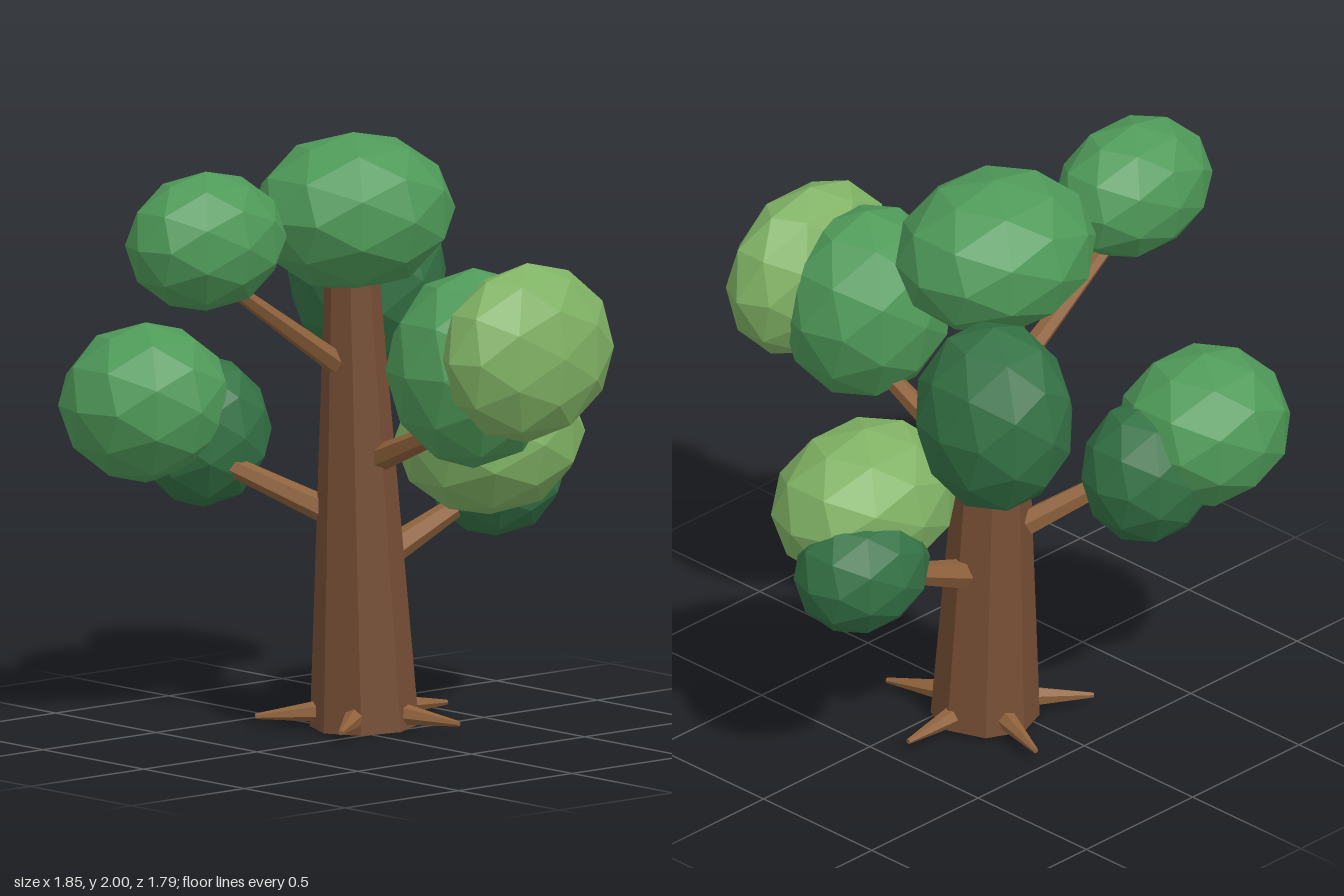
import * as THREE from 'three';

const material = (color) => new THREE.MeshStandardMaterial({ color, flatShading: true });

// Tapered round piece running from point a to point b
function limb(name, a, b, r0, r1, sides, mat) {
  const from = new THREE.Vector3(...a);
  const dir = new THREE.Vector3(...b).sub(from);
  const geo = new THREE.CylinderGeometry(r1, r0, dir.length(), sides);
  geo.translate(0, dir.length() / 2, 0);
  const mesh = new THREE.Mesh(geo, mat);
  mesh.name = name;
  mesh.position.copy(from);
  mesh.quaternion.setFromUnitVectors(new THREE.Vector3(0, 1, 0), dir.normalize());
  return mesh;
}

export function createModel() {
  const tree = new THREE.Group();
  tree.name = 'tree';
  const bark = material(0x754d34);
  const wood = material(0x8f623c);
  const mid = material(0x4f9a59);
  const dark = material(0x347245);
  const light = material(0x80b264);

  // Trunk, leaning slightly
  tree.add(limb('trunk', [0.08, 0.01, -0.12], [0.02, 1.65, -0.12], 0.18, 0.083, 8, bark));

  // Five pointed roots around the foot
  for (let i = 0; i < 5; i++) {
    const t = (i / 5) * Math.PI * 2;
    const at = (r, y) => [0.08 + r * Math.cos(t), y, -0.12 + r * Math.sin(t)];
    tree.add(limb('root' + (i + 1), at(0.13, 0.062), at(0.362, 0.046), 0.038, 0.009, 6, wood));
  }

  // Branches: start, end, start radius, end radius
  const branches = [
    ['lowerLeftBranch', [0.18, 0.575, -0.12], [0.62, 0.75, -0.12], 0.05, 0.028],
    ['rearRightBranch', [-0.01, 0.73, -0.22], [-0.42, 0.98, -0.52], 0.045, 0.026],
    ['frontBranch', [0.06, 0.92, -0.02], [0.03, 1.13, 0.5], 0.045, 0.026],
    ['rearLeftBranch', [0.09, 1.05, -0.18], [0.42, 1.38, -0.5], 0.042, 0.026],
    ['upperRightBranch', [-0.02, 1.22, -0.12], [-0.6, 1.6, -0.11], 0.04, 0.022],
  ];
  for (const [name, a, b, r0, r1] of branches) tree.add(limb(name, a, b, r0, r1, 6, wood));

  // Faceted leaf clumps: centre, radii, colour
  const clumps = [
    ['crownLeaves', [0.03, 1.735, -0.12], [0.36, 0.265, 0.31], mid],
    ['upperRightLeaves', [-0.628, 1.712, -0.11], [0.3, 0.233, 0.218], mid],
    ['rearLeftLeaves', [0.455, 1.435, -0.53], [0.257, 0.335, 0.278], dark],
    ['frontLightLeaves', [0.065, 1.365, 0.705], [0.345, 0.3, 0.19], light],
    ['frontLeaves', [0.005, 1.295, 0.505], [0.303, 0.335, 0.28], mid],
    ['rearRightLeaves', [-0.44, 1.085, -0.62], [0.302, 0.268, 0.278], mid],
    ['rearRightDarkLeaves', [-0.24, 0.975, -0.56], [0.24, 0.255, 0.21], dark],
    ['leftLightLeaves', [0.525, 0.945, 0.0], [0.345, 0.265, 0.275], light],
    ['leftDarkLeaves', [0.67, 0.795, -0.13], [0.25, 0.22, 0.203], dark],
  ];
  for (const [name, center, radii, mat] of clumps) {
    const mesh = new THREE.Mesh(new THREE.IcosahedronGeometry(1, 1), mat);
    mesh.name = name;
    mesh.position.set(...center);
    mesh.scale.set(...radii);
    tree.add(mesh);
  }
  return tree;
}
